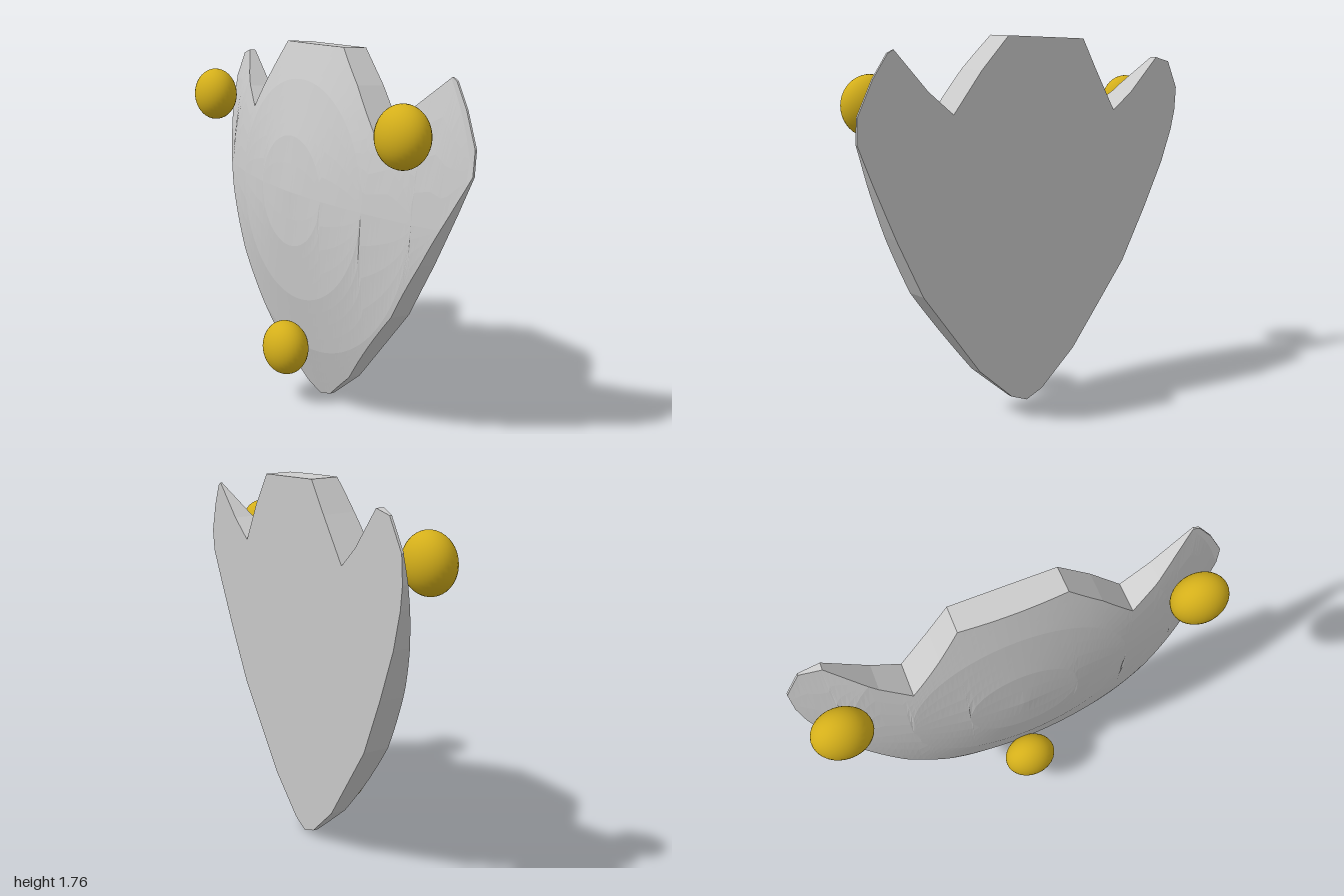
import * as THREE from 'three';

// Outline of the plate: upper and lower edges, running from -x to +x
const UPPER = [[-1, 1.52], [-0.92, 1.655], [-0.82, 1.675], [-0.64, 1.5], [-0.515, 1.41], [-0.37, 1.61], [-0.27, 1.755],
  [0.21, 1.755], [0.36, 1.6], [0.51, 1.41], [0.65, 1.51], [0.83, 1.68], [0.86, 1.665], [0.93, 1.56], [1, 1.41]];
const LOWER = [[-1, 1.4], [-0.98, 1.3], [-0.92, 1.13], [-0.8, 0.89], [-0.65, 0.62], [-0.31, 0.21], [-0.1, 0.04], [0, 0.003],
  [0.1, 0.04], [0.31, 0.21], [0.65, 0.62], [0.8, 0.89], [0.92, 1.13], [1, 1.3]];

// Dome made of conical bands around one centre
const CX = -0.04, CY = 1.06, STEP = 0.265, RINGS = [1, 2, 3, 4].map(i => i * STEP);
const curve = r => Math.max(0.235 - 0.2 * r * r, 0.004);
function domeHeight(x, y) {
  const t = Math.hypot(x - CX, y - CY) / STEP, i = Math.floor(t);
  return THREE.MathUtils.lerp(curve(i * STEP), curve((i + 1) * STEP), t - i);
}

function edgeAt(chain, x) {
  let i = 1;
  while (i < chain.length - 1 && x > chain[i][0]) i++;
  const [a, b] = [chain[i - 1], chain[i]];
  return a[1] + (b[1] - a[1]) * (x - a[0]) / (b[0] - a[0]);
}

// Tilted flat back, and the front raised from it along its normal
const NORMAL = new THREE.Vector3(-0.069, 0.055, 1).normalize();
const backPoint = (x, y) => new THREE.Vector3(x, y, -0.08 + 0.069 * x - 0.055 * y);
const frontPoint = (x, y) => backPoint(x, y).addScaledVector(NORMAL, domeHeight(x, y));

function plateGeometry() {
  // Columns pass through every outline corner and ring extreme
  const xs = [...UPPER, ...LOWER].map(p => p[0]);
  for (let i = 0; i <= 80; i++) xs.push(-1 + i / 40);
  RINGS.forEach(r => xs.push(CX - r, CX + r));
  const cols = [...new Set(xs.map(x => +x.toFixed(4)))].filter(x => Math.abs(x) <= 1).sort((a, b) => a - b);

  // Rows pass through the ring crossings, so the bands meet in clean circles
  const grid = cols.map(x => {
    const lo = edgeAt(LOWER, x), hi = edgeAt(UPPER, x), dx = x - CX;
    const half = RINGS.map(r => Math.sqrt(Math.max(0, r * r - dx * dx)));
    const marks = [lo, ...half.map(h => CY - h).reverse(), ...half.map(h => CY + h), hi]
      .map(y => THREE.MathUtils.clamp(y, lo, hi));
    const ys = [lo];
    for (let i = 1; i < marks.length; i++)
      for (let k = 1; k <= 4; k++) ys.push(THREE.MathUtils.lerp(marks[i - 1], marks[i], k / 4));
    return ys.map(y => ({ f: frontPoint(x, y), b: backPoint(x, y) }));
  });

  const pos = [];
  const tri = (a, b, c) => {
    if (b.clone().sub(a).cross(c.clone().sub(a)).length() > 1e-9)
      pos.push(...a.toArray(), ...b.toArray(), ...c.toArray());
  };
  const quad = (a, b, c, d) => { tri(a, b, c); tri(a, c, d); };
  const last = grid[0].length - 1;
  for (let i = 0; i < grid.length - 1; i++) {
    const p = grid[i], q = grid[i + 1];
    for (let j = 0; j < last; j++) quad(p[j].f, q[j].f, q[j + 1].f, p[j + 1].f);
    quad(q[0].b, p[0].b, p[last].b, q[last].b);
    quad(p[0].b, q[0].b, q[0].f, p[0].f);
    quad(p[last].f, q[last].f, q[last].b, p[last].b);
  }
  // Short walls at the two side tips
  const l = grid[0], r = grid[grid.length - 1];
  for (let j = 0; j < last; j++) {
    quad(l[j].b, l[j].f, l[j + 1].f, l[j + 1].b);
    quad(r[j].f, r[j].b, r[j + 1].b, r[j + 1].f);
  }
  const g = new THREE.BufferGeometry();
  g.setAttribute('position', new THREE.Float32BufferAttribute(pos, 3));
  g.computeVertexNormals();
  return g;
}

export function createModel() {
  const model = new THREE.Group();
  model.name = 'shield';
  const plate = new THREE.Mesh(plateGeometry(), new THREE.MeshStandardMaterial({ color: 0xcccccc, flatShading: true }));
  plate.name = 'shieldPlate';
  model.add(plate);

  // Flattened gold studs on the front face
  const gold = new THREE.MeshStandardMaterial({ color: 0xd4af1a });
  const ball = new THREE.SphereGeometry(1, 32, 20);
  const studs = [['rightStud', -0.86, 1.45, 0.003], ['leftStud', 0.78, 1.45, 0.108], ['lowerStud', -0.045, 0.285, 0.118]];
  for (const [name, x, y, z] of studs) {
    const stud = new THREE.Mesh(ball, gold);
    stud.name = name;
    stud.scale.set(0.134, 0.134, 0.106);
    stud.quaternion.setFromUnitVectors(new THREE.Vector3(0, 0, 1), NORMAL);
    stud.position.set(x, y, z);
    model.add(stud);
  }
  return model;
}
